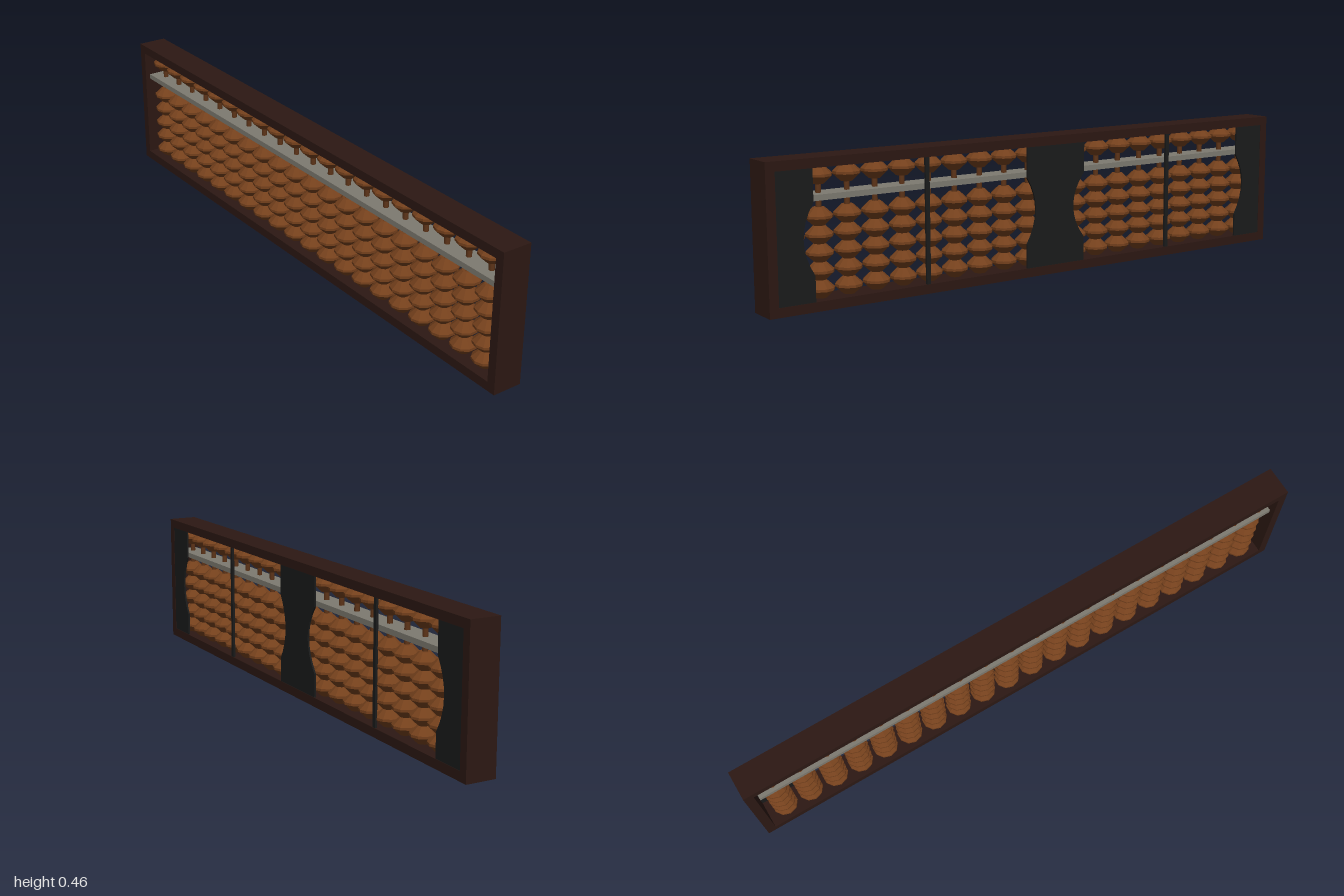
import * as THREE from 'three';

const mat = (color, extra = {}) => new THREE.MeshStandardMaterial({ color, ...extra });

export function createModel() {
  const model = new THREE.Group();
  model.name = 'abacus';
  const wood = mat(0x2c1813);
  const beadWood = mat(0x74401c, { flatShading: true });
  const rodWood = mat(0x5e3418);
  const grey = mat(0x7d7a70);
  const black = mat(0x1a1b1b);

  const add = (name, geometry, material, x = 0, y = 0, z = 0, parent = model) => {
    const mesh = new THREE.Mesh(geometry, material);
    mesh.name = name;
    mesh.position.set(x, y, z);
    parent.add(mesh);
    return mesh;
  };

  const H = 0.46, D = 0.1, T = 0.03; // frame height, depth and wall thickness

  // Outer frame
  const rail = new THREE.BoxGeometry(2, T, D);
  add('bottomRail', rail, wood, 0, T / 2, 0);
  add('topRail', rail, wood, 0, H - T / 2, 0);
  const post = new THREE.BoxGeometry(T, H - 2 * T, D);
  add('leftSide', post, wood, 1 - T / 2, H / 2, 0);
  add('rightSide', post, wood, -1 + T / 2, H / 2, 0);

  // Dividing beam
  add('beam', new THREE.BoxGeometry(1.92, 0.018, 0.076), grey, 0, 0.339, 0);

  // Rods with one bead above the beam and five below
  const pitch = 0.055, h = pitch / 2;
  const beadProfile = [[0.008, -h], [0.018, -h], [0.043, -0.004], [0.043, 0.004], [0.018, h], [0.008, h]]
    .map(([r, y]) => new THREE.Vector2(r, y));
  const beadGeometry = new THREE.LatheGeometry(beadProfile, 10);
  const rodGeometry = new THREE.CylinderGeometry(0.009, 0.009, H - 2 * T, 8);
  for (let i = 0; i < 20; i++) {
    const column = new THREE.Group();
    column.name = `column${i + 1}`;
    column.position.x = (i - 9.5) * 0.0952;
    model.add(column);
    add('rod', rodGeometry, rodWood, 0, H / 2, 0, column);
    add('upperBead', beadGeometry, beadWood, 0, H - T - h, 0, column);
    for (let k = 0; k < 5; k++) {
      add('lowerBead', beadGeometry, beadWood, 0, T + h + k * pitch, 0, column);
    }
  }

  // Back plates, waisted at mid height; a waist of 0 keeps that edge straight
  const backPlate = (name, x0, x1, waist0, waist1) => {
    const s = new THREE.Shape();
    const y0 = T, y1 = H - T, a = 0.11, b = 0.33, m = 0.22;
    s.moveTo(x0, y0);
    s.lineTo(x1, y0);
    s.lineTo(x1, a);
    s.quadraticCurveTo(x1 - 2 * waist1, m, x1, b);
    s.lineTo(x1, y1);
    s.lineTo(x0, y1);
    s.lineTo(x0, b);
    s.quadraticCurveTo(x0 + 2 * waist0, m, x0, a);
    s.closePath();
    const g = new THREE.ExtrudeGeometry(s, { depth: 0.006, bevelEnabled: false, curveSegments: 8 });
    add(name, g, black, 0, 0, -0.049);
  };
  backPlate('rightBackPlate', -0.97, -0.85, 0, 0.035);
  backPlate('centreBackPlate', -0.15, 0.083, 0.045, 0.035);
  backPlate('leftBackPlate', 0.85, 0.97, 0.035, 0);

  // Slim back struts
  const strut = new THREE.BoxGeometry(0.014, H - 2 * T, 0.008);
  for (const x of [-0.518, 0.46]) add('backStrut', strut, black, x, H / 2, -0.045);

  return model;
}
